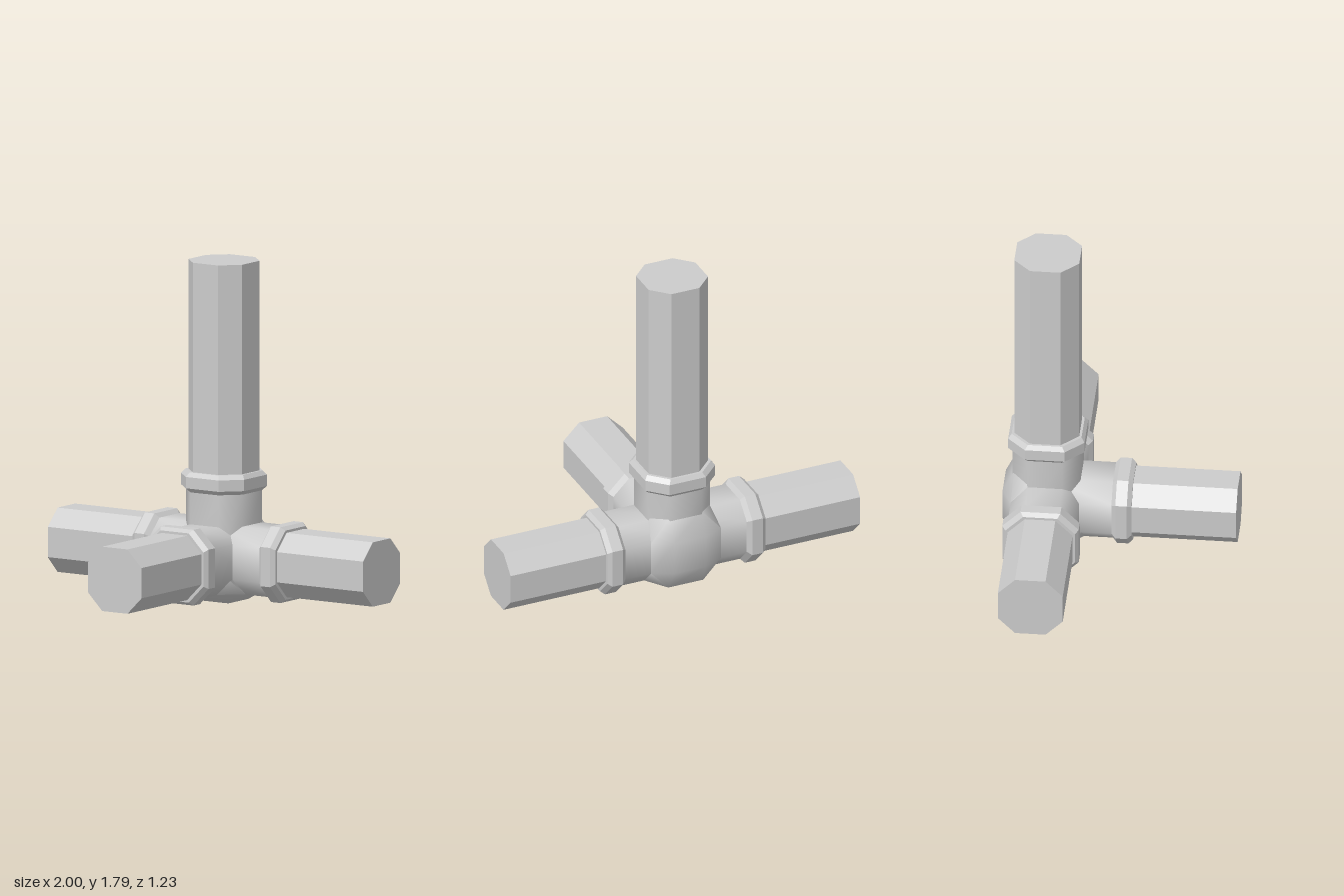
import * as THREE from 'three';
import { toCreasedNormals } from 'three/addons/utils/BufferGeometryUtils.js';
import { ConvexGeometry } from 'three/addons/geometries/ConvexGeometry.js';

const material = new THREE.MeshStandardMaterial({ color: 0xcccccc });

// Loft of octagons along +y; each section is [y, half width, half length of the flat side]
function octagonLoft(sections, crease, capped = false) {
  const rings = sections.map(([y, w, f]) =>
    [[w, -f], [w, f], [f, w], [-f, w], [-w, f], [-w, -f], [-f, -w], [f, -w]]
      .map(([x, z]) => [x, y, z]));
  const pos = [];
  const tri = (a, b, c) => pos.push(...a, ...b, ...c);
  for (let r = 0; r < rings.length - 1; r++) {
    for (let i = 0; i < 8; i++) {
      const j = (i + 1) % 8;
      tri(rings[r][i], rings[r + 1][i], rings[r][j]);
      tri(rings[r][j], rings[r + 1][i], rings[r + 1][j]);
    }
  }
  if (capped) {
    const end = rings[rings.length - 1];
    for (let i = 0; i < 8; i++) tri([0, end[0][1], 0], end[(i + 1) % 8], end[i]);
  }
  const g = new THREE.BufferGeometry();
  g.setAttribute('position', new THREE.Float32BufferAttribute(pos, 3));
  return toCreasedNormals(g, crease);
}

function add(parent, name, geometry) {
  const mesh = new THREE.Mesh(geometry, material);
  mesh.name = name;
  parent.add(mesh);
}

// One branch: fitting arm, bevelled collar and the pipe plugged into it
function branch(name, length) {
  const g = new THREE.Group();
  g.name = name;
  add(g, 'arm', octagonLoft([[0, 0.178, 0.09], [0.36, 0.178, 0.09]], 0.9));
  add(g, 'collar', octagonLoft([
    [0.345, 0.176, 0.088], [0.37, 0.2, 0.104], [0.43, 0.2, 0.104],
    [0.453, 0.183, 0.09], [0.453, 0.165, 0.078],
  ], 0.5));
  add(g, 'pipe', octagonLoft([[0.4, 0.17, 0.08], [length, 0.17, 0.08]], 0.5, true));
  return g;
}

// Rounded elbow that bulges out below and behind the junction
function junctionCore() {
  const pts = [];
  for (const s of [-1, 1]) {
    for (const t of [-1, 1]) {
      pts.push([s * 0.09, -0.235, t * 0.09], [s * 0.09, t * 0.09, -0.23]);
      pts.push([s * 0.2, -0.178, t * 0.09], [s * 0.2, t * 0.09, -0.178]);
    }
    pts.push([s * 0.1, -0.2, -0.175]);
    pts.push([s * 0.09, 0.215, -0.17], [s * 0.09, -0.175, 0.2]);
    pts.push([s * 0.17, 0.2, -0.09], [s * 0.17, -0.09, 0.2]);
    pts.push([s * 0.2, 0.12, 0.09]);
  }
  const g = new ConvexGeometry(pts.map((p) => new THREE.Vector3(...p)));
  return toCreasedNormals(g, 1.0);
}

export function createModel() {
  const model = new THREE.Group();
  model.name = 'pipeJunction';

  const up = branch('upperBranch', 1.56);
  const left = branch('leftBranch', 1);
  left.rotation.z = -Math.PI / 2;
  const right = branch('rightBranch', 1);
  right.rotation.z = Math.PI / 2;
  const front = branch('frontBranch', 1);
  front.rotation.x = Math.PI / 2;
  model.add(up, left, right, front);
  add(model, 'junctionCore', junctionCore());

  // Place the junction so the bulge rests on the floor
  for (const part of model.children) part.position.set(0, 0.238, -0.385);
  return model;
}
